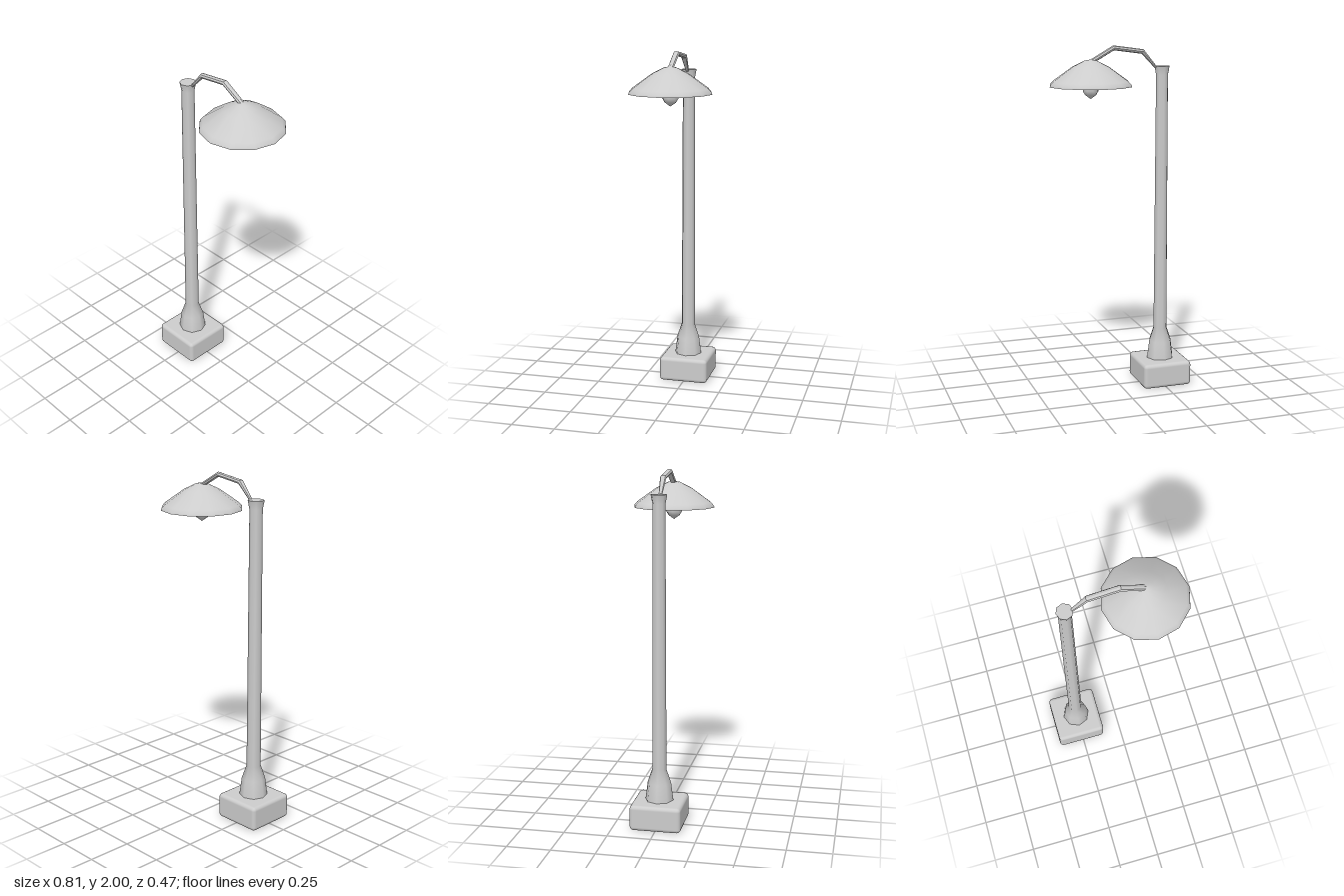
import * as THREE from 'three';
import { RoundedBoxGeometry } from 'three/addons/geometries/RoundedBoxGeometry.js';

const POLE_X = -0.258;
const SHADE_X = 0.167;

const metal = new THREE.MeshStandardMaterial({ color: 0xcccccc });
metal.name = 'grey metal';

function addPart(group, name, geometry, x = 0, y = 0) {
  const mesh = new THREE.Mesh(geometry, metal);
  mesh.name = name;
  mesh.position.set(x, y, 0);
  group.add(mesh);
  return mesh;
}

// Surface of revolution from [radius, height] pairs, listed bottom to top
function turned(profile, sides) {
  return new THREE.LatheGeometry(profile.map(([r, y]) => new THREE.Vector2(r, y)), sides);
}

// Flat disc facing up or down
function disc(radius, sides, up) {
  return new THREE.CircleGeometry(radius, sides).rotateX(up ? -Math.PI / 2 : Math.PI / 2);
}

// Faceted eight-sided bar along [x, y, half width, half thickness] stations
function bentBar(stations, sides = 8) {
  const positions = [];
  const indices = [];
  const last = stations.length - 1;
  stations.forEach(([x, y, w, t], i) => {
    const a = stations[Math.max(i - 1, 0)];
    const b = stations[Math.min(i + 1, last)];
    const dir = new THREE.Vector2(b[0] - a[0], b[1] - a[1]).normalize();
    for (let j = 0; j < sides; j++) {
      const angle = (j / sides) * Math.PI * 2;
      const up = Math.sin(angle) * t;
      positions.push(x - dir.y * up, y + dir.x * up, Math.cos(angle) * w);
      if (i < last) {
        const p = i * sides + j;
        const q = i * sides + ((j + 1) % sides);
        indices.push(p, p + sides, q, q, p + sides, q + sides);
      }
    }
  });
  // End caps
  const end = last * sides;
  for (let j = 1; j < sides - 1; j++) {
    indices.push(0, j, j + 1, end, end + j + 1, end + j);
  }
  const geometry = new THREE.BufferGeometry();
  geometry.setAttribute('position', new THREE.Float32BufferAttribute(positions, 3));
  geometry.setIndex(indices);
  const faceted = geometry.toNonIndexed();
  faceted.computeVertexNormals();
  return faceted;
}

export function createModel() {
  const lamp = new THREE.Group();
  lamp.name = 'streetLamp';

  // Square foot with softened edges
  addPart(lamp, 'base', new RoundedBoxGeometry(0.293, 0.147, 0.293, 2, 0.022), POLE_X, 0.0735);

  // Eight-sided pole: flared foot, slim shaft and flared top
  addPart(lamp, 'pole', turned([
    [0.082, 0.14], [0.068, 0.25], [0.041, 0.33], [0.036, 1.83], [0.046, 1.88],
  ], 8), POLE_X);
  addPart(lamp, 'poleCap', disc(0.046, 8, true), POLE_X, 1.88);

  // Bent arm, narrow where it leaves the pole
  addPart(lamp, 'arm', bentBar([
    [-0.23, 1.862, 0.009, 0.007],
    [-0.14, 1.963, 0.018, 0.014],
    [0.032, 1.986, 0.018, 0.014],
    [0.162, 1.912, 0.017, 0.013],
  ]));

  // Twelve-sided shade with a closed underside
  addPart(lamp, 'shade', turned([
    [0.236, 1.775], [0.234, 1.785], [0.217, 1.804], [0.104, 1.884], [0.035, 1.918], [0, 1.924],
  ], 12), SHADE_X);
  addPart(lamp, 'shadeUnderside', disc(0.236, 12, false), SHADE_X, 1.775);

  // Bulb below the shade
  addPart(lamp, 'bulb', turned([
    [0, 1.705], [0.033, 1.728], [0.046, 1.75], [0.042, 1.782],
  ], 8), SHADE_X);

  return lamp;
}
